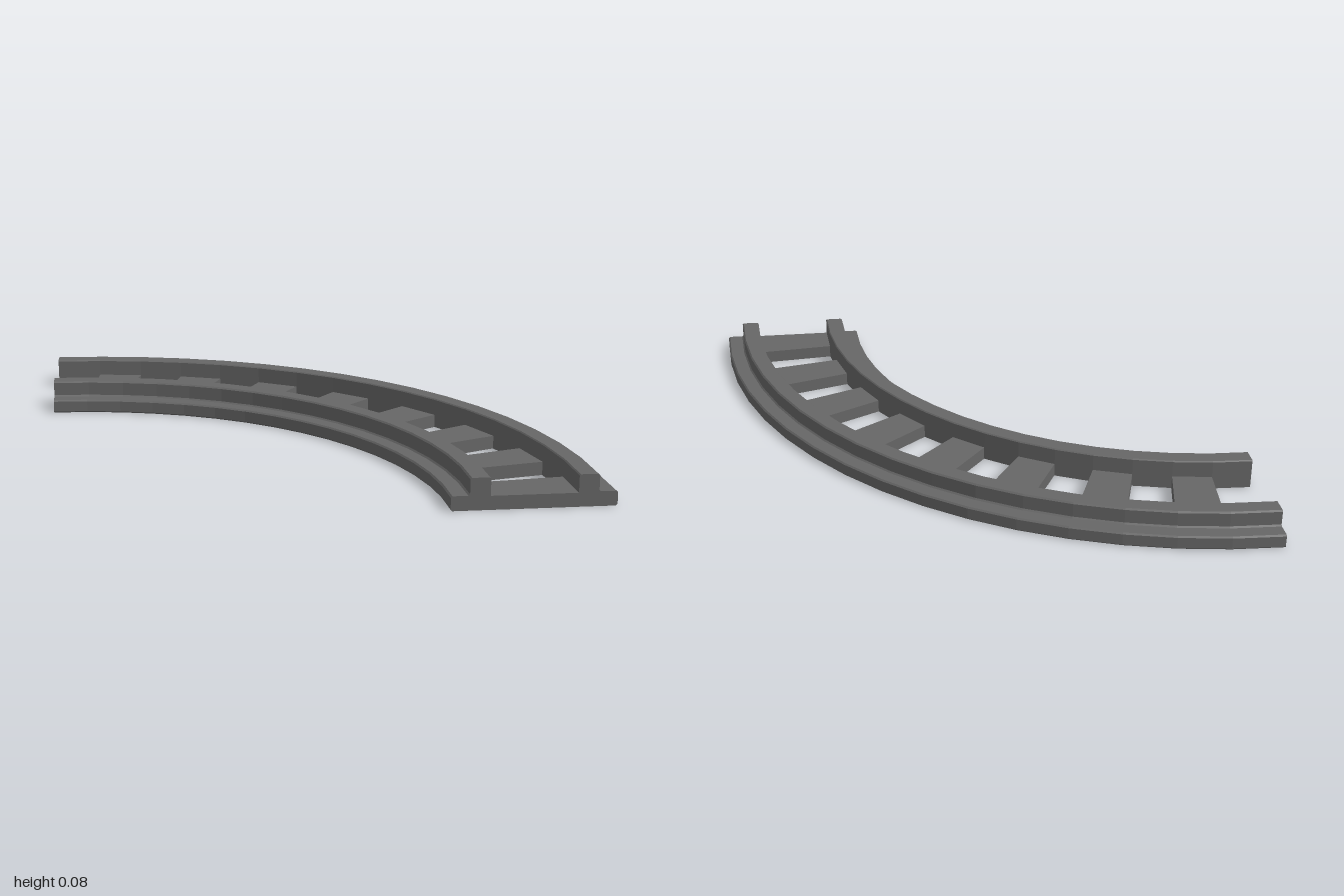
import * as THREE from 'three';

const CENTER_X = -1.06; // centre of the curve
const MID_R = 1.207; // radius midway between the rails
const HALF = Math.PI / 4; // the track spans 90 degrees
const STEPS = 16;
const STEP = (2 * HALF) / STEPS;

// Sweeps a counter-clockwise (radius, y) section around the curve and caps both ends.
function arcSweep(section, start, steps) {
  const pos = [];
  const point = ([r, y], k) => {
    const a = start + k * STEP;
    return [CENTER_X + r * Math.cos(a), y, -r * Math.sin(a)];
  };
  const tri = (a, b, c) => pos.push(...a, ...b, ...c);
  for (let k = 0; k < steps; k++) {
    section.forEach((p, i) => {
      const q = section[(i + 1) % section.length];
      tri(point(p, k), point(p, k + 1), point(q, k + 1));
      tri(point(p, k), point(q, k + 1), point(q, k));
    });
  }
  const outline = section.map(([r, y]) => new THREE.Vector2(r, y));
  for (const [a, b, c] of THREE.ShapeUtils.triangulateShape(outline, [])) {
    tri(point(section[a], 0), point(section[b], 0), point(section[c], 0));
    tri(point(section[c], steps), point(section[b], steps), point(section[a], steps));
  }
  const geo = new THREE.BufferGeometry();
  geo.setAttribute('position', new THREE.Float32BufferAttribute(pos, 3));
  geo.computeVertexNormals();
  return geo;
}

export function createModel() {
  const group = new THREE.Group();
  const material = new THREE.MeshStandardMaterial({ color: 0x666666, flatShading: true });
  const add = (name, geometry) => {
    const mesh = new THREE.Mesh(geometry, material);
    mesh.name = name;
    group.add(mesh);
  };

  // Rails: a wide foot with a raised head along the side facing the ties
  const inner = [
    [1.004, 0], [1.098, 0], [1.098, 0.08], [1.095, 0.083], [1.051, 0.083],
    [1.047, 0.079], [1.047, 0.042], [1.043, 0.038], [1.004, 0.038], [1.0, 0.034], [1.0, 0.004],
  ];
  const outer = inner.map(([r, y]) => [2 * MID_R - r, y]).reverse();
  add('innerRail', arcSweep(inner, -HALF, STEPS));
  add('outerRail', arcSweep(outer, -HALF, STEPS));

  // Ties: every other step between the rails, the first flush with the front end
  const tie = [[1.098, 0], [1.316, 0], [1.316, 0.036], [1.098, 0.036]];
  for (let k = 0; k < STEPS; k += 2) {
    add(`tie${k / 2 + 1}`, arcSweep(tie, -HALF + k * STEP, 1));
  }
  return group;
}
